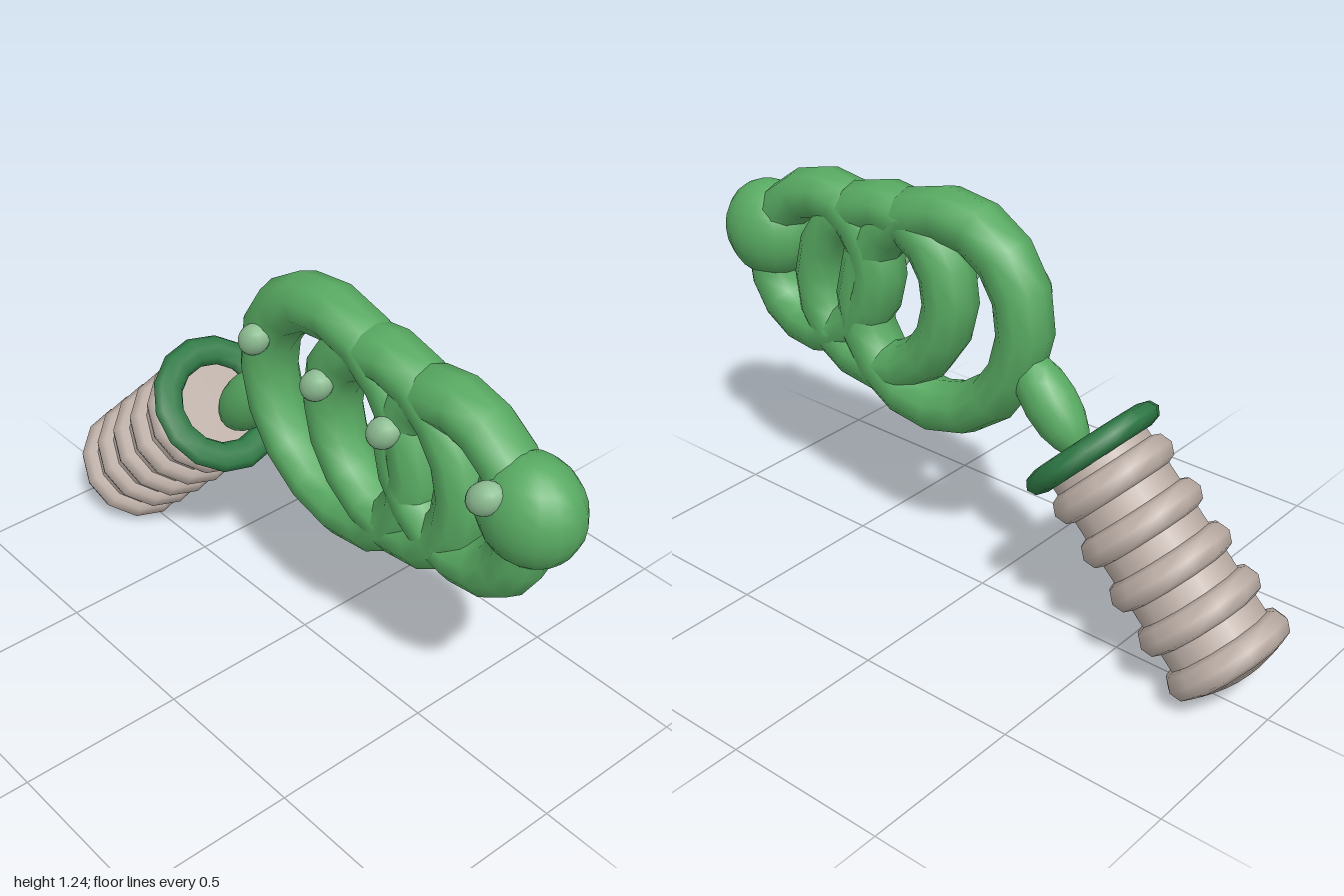
import * as THREE from 'three';

const GREEN = 0x58aa62, DARK = 0x2f7a46, PALE = 0x93c498, TAUPE = 0xbcaea6;

export function createModel() {
  const model = new THREE.Group();
  const mats = {};
  const material = (color) => (mats[color] ??= new THREE.MeshStandardMaterial({ color }));

  function add(parent, name, geometry, color, position, scale = [1, 1, 1], tilt = 0) {
    const mesh = new THREE.Mesh(geometry, material(color));
    mesh.name = name;
    mesh.position.set(...position);
    mesh.scale.set(...scale);
    mesh.rotation.z = tilt;
    parent.add(mesh);
    return mesh;
  }

  // Handle: built upright along y, then leaned 45 degrees to the right
  const handle = new THREE.Group();
  handle.name = 'handle';
  handle.position.set(-0.86, 0.15, 0);
  handle.rotation.z = -Math.PI / 4;
  model.add(handle);

  const core = new THREE.CylinderGeometry(0.155, 0.155, 0.64, 12);
  add(handle, 'handleCore', core, TAUPE, [0, 0.32, 0]);
  add(handle, 'handleEnd', new THREE.SphereGeometry(0.18, 12, 8), TAUPE, [0, -0.005, 0], [1, 0.38, 1]);

  // Grip ribs
  const rib = new THREE.TorusGeometry(0.145, 0.047, 8, 12).rotateX(Math.PI / 2);
  for (let i = 0; i < 5; i++) add(handle, 'gripRib', rib, TAUPE, [0, i * 0.14, 0]);

  // Flattened collar at the mouth of the handle
  const collar = new THREE.TorusGeometry(0.168, 0.046, 8, 14).rotateX(Math.PI / 2);
  add(handle, 'collar', collar, DARK, [0, 0.66, 0], [1, 0.75, 1]);

  // Neck joining handle and rings
  const ball = new THREE.SphereGeometry(1, 12, 10);
  add(model, 'neck', ball, GREEN, [-0.245, 0.705, 0], [0.165, 0.08, 0.075], 0.85);

  // Three overlapping oval rings, shrinking toward the end ball
  const rings = [
    [0.15, 0.86, 0.325],
    [0.37, 0.875, 0.272],
    [0.61, 0.89, 0.235],
  ];
  for (const [x, y, radius] of rings) {
    const ring = new THREE.TorusGeometry(radius, 0.086, 10, 16);
    add(model, 'ring', ring, GREEN, [x, y, 0], [1, 0.87, 1], Math.PI * 0.75);
  }

  // End ball
  add(model, 'endBall', new THREE.SphereGeometry(1, 16, 12), GREEN, [0.84, 0.937, 0], [0.152, 0.152, 0.125]);

  // Pale beads along the front face
  const beads = [
    [-0.12, 1.0, 0.08],
    [0.14, 0.98, 0.08],
    [0.4, 0.965, 0.08],
    [0.785, 0.99, 0.108],
  ];
  for (const p of beads) add(model, 'bead', ball, PALE, p, [0.064, 0.043, 0.04], 0.8);

  return model;
}
